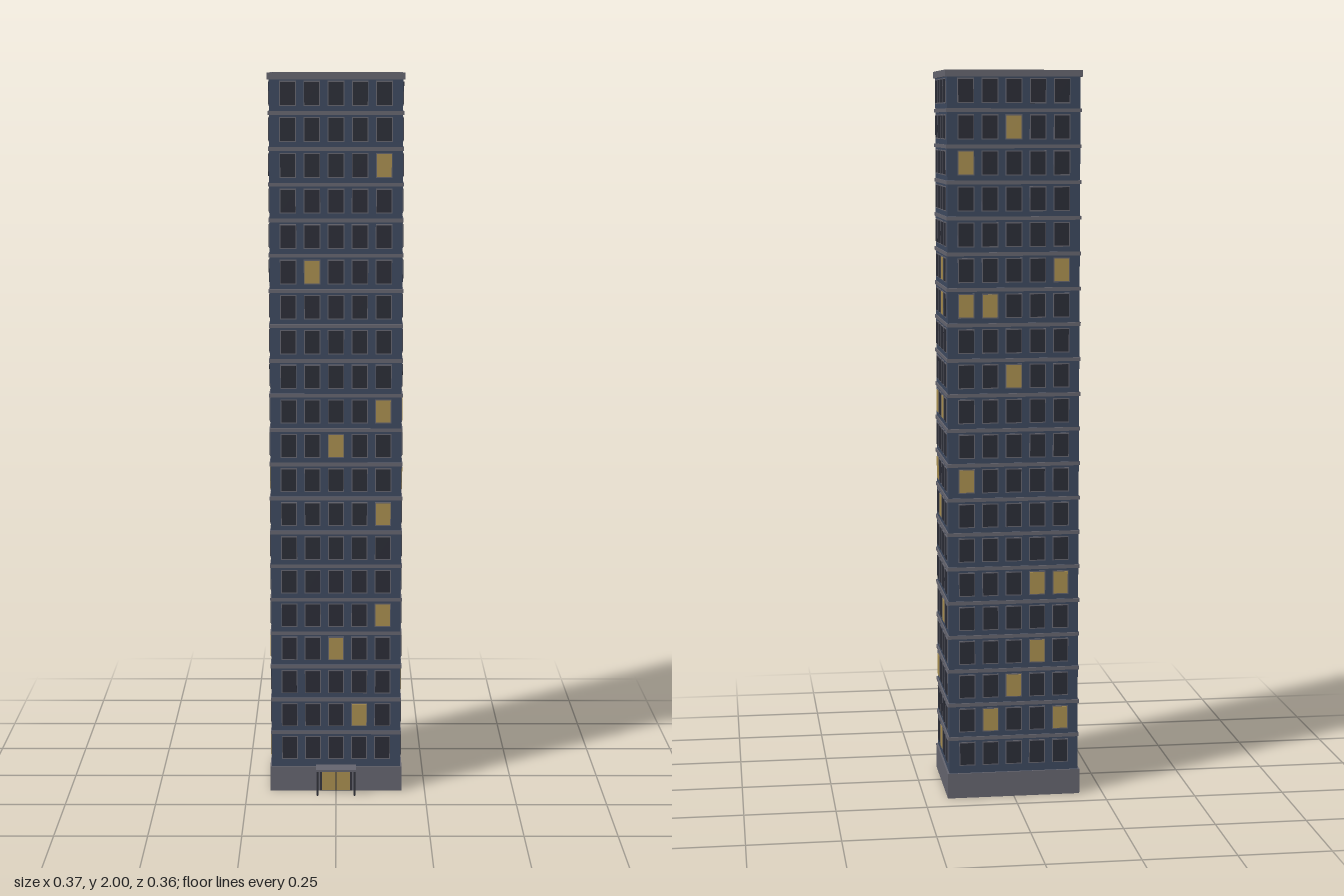
import * as THREE from 'three';
import { mergeGeometries } from 'three/addons/utils/BufferGeometryUtils.js';

const FLOORS = 20, FLOOR_H = 0.0958, FIRST_Y = 0.125;
const CZ = -0.025; // centre of the tower in z, the canopy stands in front of it
const HX = 0.18, HZ = 0.15; // half sizes of the shaft

function material(name, color) {
  const m = new THREE.MeshStandardMaterial({ color });
  m.name = name;
  return m;
}

function box(w, h, d, x, y, z) {
  return new THREE.BoxGeometry(w, h, d).translate(x, y, z);
}

export function createModel() {
  const wall = material('navy wall', 0x3d495f);
  const stone = material('grey stone', 0x65656f);
  const glass = material('dark glass', 0x2b2d37);
  const light = material('lit glass', 0xa98f50);
  const metal = material('dark metal', 0x34353d);

  const model = new THREE.Group();
  model.name = 'towerBlock';
  const add = (parent, name, geometry, mat) => {
    const mesh = new THREE.Mesh(geometry, mat);
    mesh.name = name;
    parent.add(mesh);
  };

  // Shaft, base and roof
  add(model, 'shaft', box(HX * 2, 1.92, HZ * 2, 0, 1.03, CZ), wall);
  add(model, 'base', box(0.37, 0.07, 0.31, 0, 0.035, CZ), stone);
  add(model, 'parapet', mergeGeometries([
    box(0.372, 0.018, 0.008, 0, 1.991, CZ + 0.151),
    box(0.372, 0.018, 0.008, 0, 1.991, CZ - 0.151),
    box(0.008, 0.018, 0.294, 0.182, 1.991, CZ),
    box(0.008, 0.018, 0.294, -0.182, 1.991, CZ),
  ]), stone);
  add(model, 'roof', box(0.356, 0.016, 0.294, 0, 1.99, CZ), wall);

  // A thin ledge above each row of windows
  const ledges = [];
  for (let k = 0; k < FLOORS - 1; k++) {
    ledges.push(box(HX * 2 + 0.006, 0.01, HZ * 2 + 0.006, 0, FIRST_Y + k * FLOOR_H + 0.044, CZ));
  }
  add(model, 'floorLedges', mergeGeometries(ledges), stone);

  // Windows: lit ones are [floor, column], columns counted from the left seen from outside
  const faces = [
    { name: 'front', turn: 0, dist: HZ, cols: 5, step: 0.065,
      lit: [[17, 4], [14, 1], [10, 4], [9, 2], [7, 4], [4, 4], [3, 2], [1, 3]] },
    { name: 'left', turn: 1, dist: HX, cols: 4, step: 0.0665,
      lit: [[14, 2], [13, 2], [10, 0], [10, 2], [8, 0], [7, 1], [4, 2], [2, 0], [0, 1]] },
    { name: 'back', turn: 2, dist: HZ, cols: 5, step: 0.065,
      lit: [[18, 2], [17, 0], [14, 4], [13, 0], [13, 1], [11, 2], [8, 0], [5, 3], [5, 4],
        [3, 3], [2, 2], [1, 1], [1, 4]] },
    { name: 'right', turn: 3, dist: HX, cols: 4, step: 0.0665,
      lit: [[19, 2], [17, 2], [15, 2], [13, 2], [8, 3], [7, 1], [6, 1], [6, 2], [3, 0],
        [3, 1], [3, 3], [0, 1], [0, 3]] },
  ];
  for (const f of faces) {
    const side = new THREE.Group();
    side.name = f.name + 'Windows';
    side.position.z = CZ;
    side.rotation.y = f.turn * Math.PI / 2;
    const frames = [], dark = [], lit = [];
    for (let k = 0; k < FLOORS; k++) {
      for (let c = 0; c < f.cols; c++) {
        const x = (c - (f.cols - 1) / 2) * f.step, y = FIRST_Y + k * FLOOR_H;
        const isLit = f.lit.some(([a, b]) => a === k && b === c);
        frames.push(box(0.045, 0.067, 0.004, x, y, f.dist));
        (isLit ? lit : dark).push(box(0.04, 0.061, 0.004, x, y, f.dist + 0.0015));
      }
    }
    add(side, 'windowFrames', mergeGeometries(frames), stone);
    add(side, 'darkPanes', mergeGeometries(dark), glass);
    add(side, 'litPanes', mergeGeometries(lit), light);
    model.add(side);
  }

  // Entrance with double door, canopy and two posts
  add(model, 'doorFrame', box(0.09, 0.062, 0.004, 0, 0.031, 0.131), metal);
  for (const s of [-1, 1]) {
    add(model, 'door', box(0.037, 0.055, 0.004, s * 0.0205, 0.0295, 0.1325), light);
    add(model, 'canopyPost', new THREE.CylinderGeometry(0.0025, 0.0025, 0.07, 8)
      .translate(s * 0.052, 0.035, 0.174), metal);
  }
  add(model, 'canopy', box(0.112, 0.006, 0.049, 0, 0.073, 0.1535), stone);

  return model;
}
